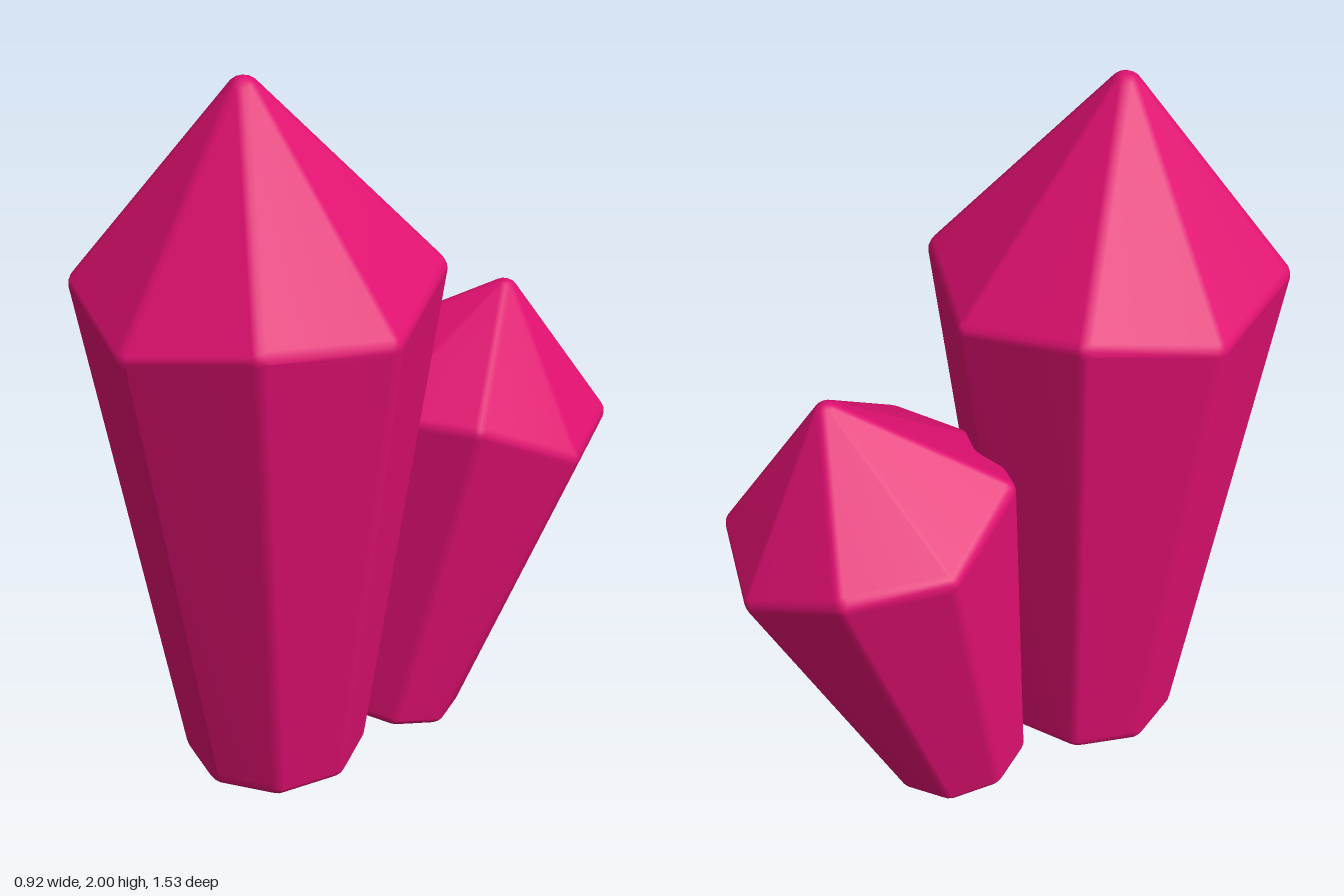
import * as THREE from 'three';
import { mergeVertices } from 'three/addons/utils/BufferGeometryUtils.js';
import { ConvexGeometry } from 'three/addons/geometries/ConvexGeometry.js';

// Eight corners on a tilted plane; the diagonal corners can be lifted
function ring({ x, y, z, rx, rz, slopeX = 0, slopeZ = 0, lift = 0 }, inset) {
  const corners = [];
  for (let i = 0; i < 8; i++) {
    const a = (i * Math.PI) / 4;
    const dx = Math.cos(a) * (rx - inset);
    const dz = Math.sin(a) * (rz - inset);
    const dy = slopeX * dx + slopeZ * dz + (i % 2 ? lift : 0);
    corners.push(new THREE.Vector3(x + dx, y + dy, z + dz));
  }
  return corners;
}

// Hull of small balls set at the crystal's corners: flat facets, rounded edges
function crystal(name, material, { base, shoulder, tip, round }) {
  const ball = new THREE.IcosahedronGeometry(round, 2);
  ball.deleteAttribute('normal');
  ball.deleteAttribute('uv');
  const spots = mergeVertices(ball).getAttribute('position');
  const corners = [
    ...ring(base, round),
    ...ring(shoulder, round),
    new THREE.Vector3(tip[0], tip[1] - round, tip[2]),
  ];
  const points = [];
  for (const corner of corners) {
    for (let i = 0; i < spots.count; i++) {
      points.push(new THREE.Vector3().fromBufferAttribute(spots, i).add(corner));
    }
  }
  let geometry = new ConvexGeometry(points);
  geometry.deleteAttribute('normal');
  geometry = mergeVertices(geometry, 1e-5);
  geometry.computeVertexNormals();
  const mesh = new THREE.Mesh(geometry, material);
  mesh.name = name;
  return mesh;
}

export function createModel() {
  const group = new THREE.Group();
  group.name = 'crystalCluster';
  const pink = new THREE.MeshStandardMaterial({ color: 0xe01070 });

  // Tall crystal at the front
  group.add(crystal('largeCrystal', pink, {
    base: { x: -0.04, y: 0.105, z: 0.235, rx: 0.24, rz: 0.24, slopeZ: -0.04 },
    shoulder: {
      x: -0.013, y: 1.43, z: 0.297, rx: 0.45, rz: 0.465,
      slopeX: -0.02, slopeZ: -0.04, lift: 0.05,
    },
    tip: [-0.01, 2.0, 0.34],
    round: 0.045,
  }));

  // Short crystal leaning backwards
  group.add(crystal('smallCrystal', pink, {
    base: {
      x: 0.01, y: 0.074, z: -0.18, rx: 0.19, rz: 0.185,
      slopeX: -0.08, slopeZ: 0.22,
    },
    shoulder: {
      x: 0.08, y: 0.905, z: -0.39, rx: 0.38, rz: 0.375,
      slopeX: -0.12, slopeZ: 0.25, lift: 0.055,
    },
    tip: [0.155, 1.27, -0.45],
    round: 0.04,
  }));

  return group;
}
